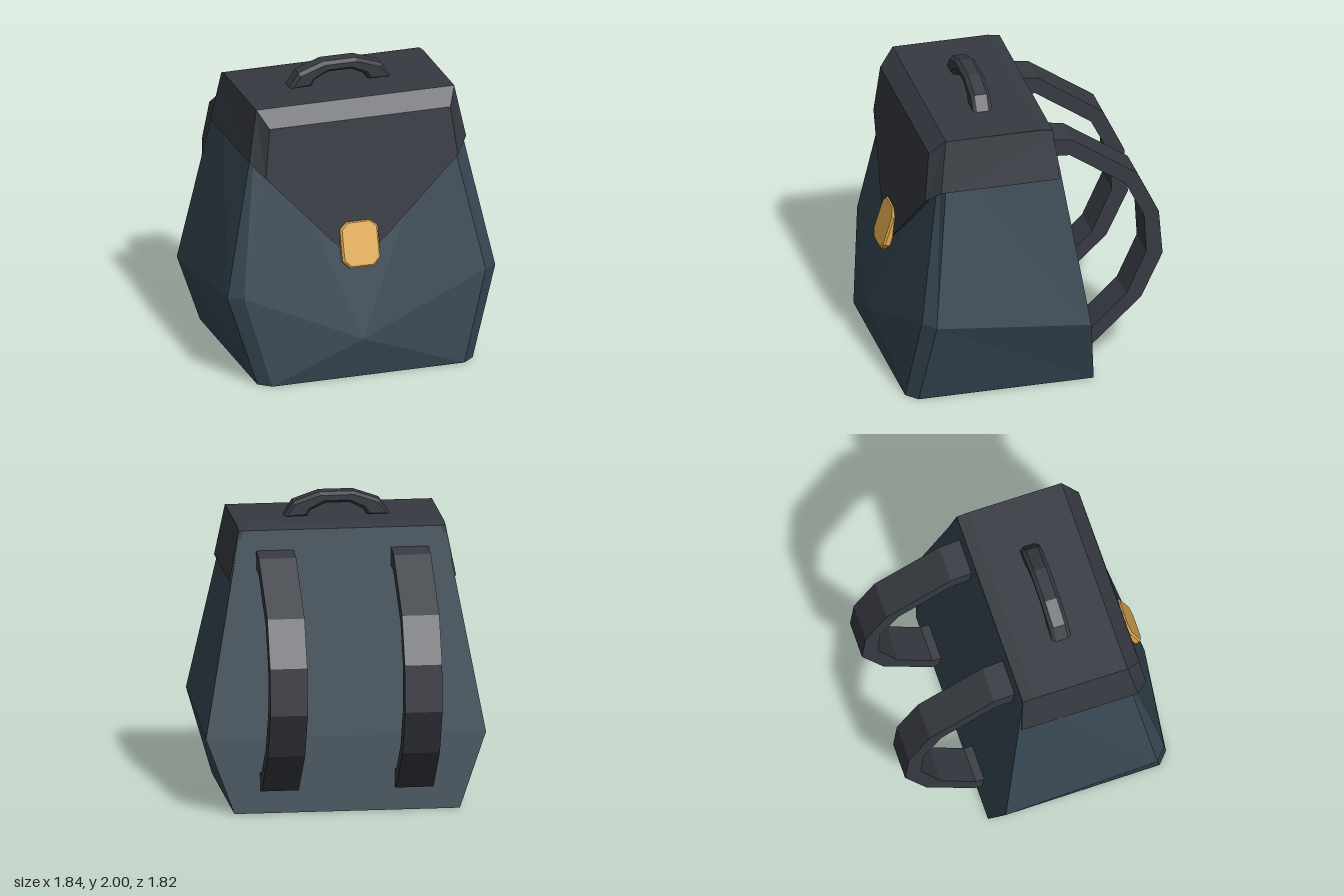
import * as THREE from 'three';

const mat = (color, side = THREE.FrontSide) =>
  new THREE.MeshStandardMaterial({ color, flatShading: true, side });
const bodyMat = mat(0x374753);
const trimMat = mat(0x363a41);
const flapMat = mat(0x363a41, THREE.DoubleSide);
const claspMat = mat(0xe0a94e);

const mirror = ([x, y, z]) => [-x, y, z];

// Flat polygons fanned into triangles, each turned to face away from an inner point
function facets(faces, inside) {
  const centre = new THREE.Vector3(...inside);
  const out = [];
  for (const face of faces) {
    const p = face.map((v) => new THREE.Vector3(...v));
    for (let i = 1; i < p.length - 1; i++) {
      let [a, b, c] = [p[0], p[i], p[i + 1]];
      const n = b.clone().sub(a).cross(c.clone().sub(a));
      if (n.dot(a.clone().sub(centre)) < 0) [b, c] = [c, b];
      out.push(...a.toArray(), ...b.toArray(), ...c.toArray());
    }
  }
  const g = new THREE.BufferGeometry();
  g.setAttribute('position', new THREE.Float32BufferAttribute(out, 3));
  g.computeVertexNormals();
  return g;
}

function outline(points) {
  return new THREE.Shape(points.map(([x, y]) => new THREE.Vector2(x, y)));
}

function add(group, name, geometry, material) {
  const mesh = new THREE.Mesh(geometry, material);
  mesh.name = name;
  group.add(mesh);
  return mesh;
}

// Body: three levels, each with back, side-front and front corners
function bodyGeometry() {
  const half = [
    [[0.74, 0, -0.4], [0.74, 0, 0.78], [0.66, 0, 0.85]],
    [[0.92, 0.49, -0.338], [0.92, 0.6, 0.705], [0.83, 0.61, 0.78]],
    [[0.674, 1.832, -0.137], [0.672, 1.78, 0.56], [0.595, 1.75, 0.59]],
  ];
  const loops = half.map((h) => [...h, ...h.map(mirror).reverse()]);
  const faces = [loops[0], loops[2]];
  const bulge = [-0.05, 0.28, 0.907];
  for (let l = 0; l < 2; l++) {
    for (let i = 0; i < 6; i++) {
      if (i === 2) continue; // the front is fanned around the bulge
      const j = (i + 1) % 6;
      faces.push([loops[l][i], loops[l][j], loops[l + 1][j], loops[l + 1][i]]);
    }
  }
  const rim = [...loops.map((l) => l[2]), ...loops.map((l) => l[3]).reverse()];
  rim.forEach((p, i) => faces.push([bulge, p, rim[(i + 1) % 6]]));
  return facets(faces, [0, 0.8, 0.25]);
}

// Flap: a lid with bevelled front corners and a pointed front
function flapGeometry() {
  const backTop = [0.68, 1.832, -0.14], ridge = [0.68, 1.845, -0.06];
  const top = [0.68, 1.845, 0.58], brow = [0.62, 1.74, 0.68];
  const backLow = [0.745, 1.5, -0.17], sideLow = [0.745, 1.5, 0.63];
  const frontLow = [0.66, 1.41, 0.715], tip = [-0.045, 0.75, 0.8];
  const inward = ([x, y, z]) => [x * 0.96, y, z > 0 ? z - 0.04 : z];
  const faces = [
    [backTop, ridge, mirror(ridge), mirror(backTop)],
    [ridge, top, mirror(top), mirror(ridge)],
    [top, brow, mirror(brow), mirror(top)],
    [brow, frontLow, tip, mirror(frontLow), mirror(brow)],
  ];
  const sides = [
    [backTop, backLow, sideLow, top, ridge],
    [top, sideLow, frontLow, brow],
    [backLow, sideLow, inward(sideLow), inward(backLow)],
    [sideLow, frontLow, inward(frontLow), inward(sideLow)],
    [backTop, backLow, inward(backLow), inward(backTop)],
  ];
  for (const s of sides) faces.push(s, s.map(mirror));
  for (const f of [frontLow, mirror(frontLow)]) faces.push([f, tip, inward(tip), inward(f)]);
  return facets(faces, [0, 1.62, 0.25]);
}

// Carry handle: bevelled arch
function handleGeometry() {
  const g = new THREE.ExtrudeGeometry(outline([
    [-0.36, 1.835], [-0.29, 1.94], [-0.12, 2], [0.105, 2], [0.28, 1.94], [0.345, 1.835],
    [0.19, 1.835], [0.165, 1.88], [0.07, 1.925], [-0.09, 1.925], [-0.18, 1.88], [-0.205, 1.835],
  ]), { depth: 0.08, bevelSize: 0.02, bevelOffset: -0.02, bevelThickness: 0.025, bevelSegments: 1 });
  return g.translate(0, 0, 0.2);
}

// Shoulder strap: side outline (distance behind centre, height) swept across its width
function strapGeometry() {
  const g = new THREE.ExtrudeGeometry(outline([
    [0.13, 1.705], [0.16, 1.7], [0.3, 1.68], [0.74, 1.375], [0.885, 1.075], [0.91, 0.765],
    [0.765, 0.46], [0.435, 0.155], [0.36, 0.145], [0.34, 0.265], [0.425, 0.27], [0.665, 0.495],
    [0.8, 0.79], [0.785, 1.06], [0.66, 1.31], [0.285, 1.57], [0.15, 1.58],
  ]), { depth: 0.245, bevelEnabled: false });
  return g.rotateY(Math.PI / 2).translate(-0.1225, 0, 0);
}

// Clasp: octagonal plate with a bevelled rim
function claspGeometry() {
  const w = 0.13, h = 0.155, c = 0.05;
  const g = new THREE.ExtrudeGeometry(outline([
    [w, h - c], [w - c, h], [c - w, h], [-w, h - c],
    [-w, c - h], [c - w, -h], [w - c, -h], [w, c - h],
  ]), { depth: 0.03, bevelSize: 0.012, bevelOffset: -0.012, bevelThickness: 0.012, bevelSegments: 1 });
  return g.translate(0, 0, -0.015);
}

export function createModel() {
  const model = new THREE.Group();
  model.name = 'backpack';
  add(model, 'body', bodyGeometry(), bodyMat);
  add(model, 'flap', flapGeometry(), flapMat);
  add(model, 'carryHandle', handleGeometry(), trimMat);
  for (const [name, x] of [['leftStrap', 0.445], ['rightStrap', -0.44]]) {
    add(model, name, strapGeometry(), trimMat).position.x = x;
  }
  const clasp = add(model, 'clasp', claspGeometry(), claspMat);
  clasp.position.set(-0.04, 0.905, 0.788);
  clasp.rotation.x = -0.3;
  return model;
}
